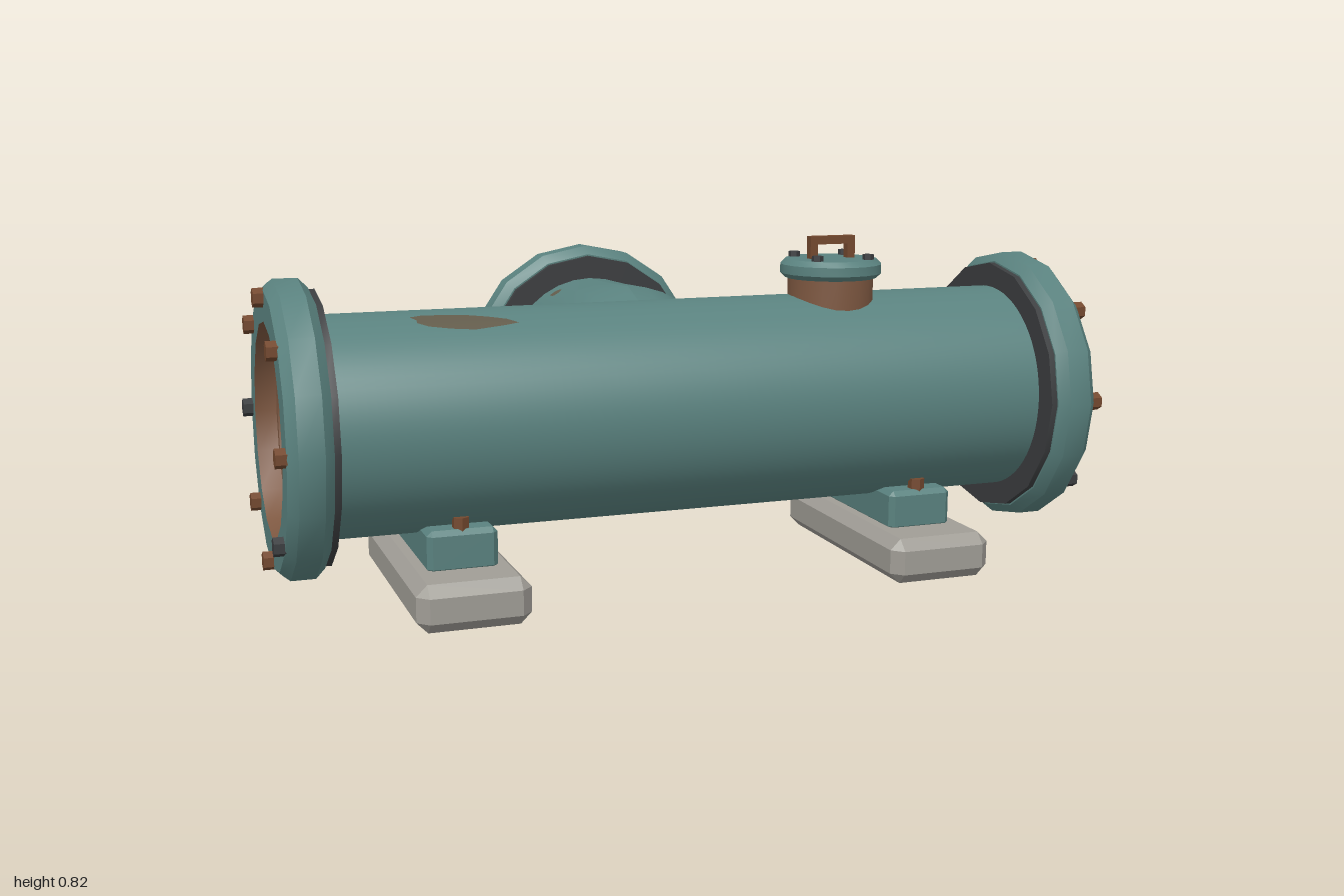
import * as THREE from 'three';
import { toCreasedNormals } from 'three/addons/utils/BufferGeometryUtils.js';
import { ConvexGeometry } from 'three/addons/geometries/ConvexGeometry.js';

const CY = 0.417, CZ = 0.243; // axis of the main pipe

function material(name, color, side = THREE.FrontSide) {
  const m = new THREE.MeshStandardMaterial({ color, side });
  m.name = name;
  return m;
}

export function createModel() {
  const model = new THREE.Group();
  model.name = 'pipeTee';
  const teal = material('tealPaint', 0x5a827f);
  const rust = material('rust', 0x7e5841, THREE.DoubleSide);
  const rustBolt = material('rustyBolt', 0x74492f);
  const dark = material('darkSteel', 0x3c3e40);
  const stone = material('concrete', 0xa09d96);
  const stain = material('rustStain', 0x625b4b, THREE.DoubleSide);

  function add(parent, name, geometry, mat, x = 0, y = 0, z = 0) {
    const mesh = new THREE.Mesh(geometry, mat);
    mesh.name = name;
    mesh.position.set(x, y, z);
    parent.add(mesh);
    return mesh;
  }

  const lathe = (points, sides) => toCreasedNormals(
    new THREE.LatheGeometry(points.map(p => new THREE.Vector2(...p)), sides), 0.5);
  const prism = (r, h, sides) => toCreasedNormals(new THREE.CylinderGeometry(r, r, h, sides), 0.5);

  // Box with every edge chamfered
  function chamferBox(w, h, d, c) {
    const points = [], s = [w / 2, h / 2, d / 2];
    for (const sx of [-1, 1]) for (const sy of [-1, 1]) for (const sz of [-1, 1])
      for (let full = 0; full < 3; full++) {
        const p = s.map((v, i) => (i === full ? v : v - c));
        points.push(new THREE.Vector3(p[0] * sx, p[1] * sy, p[2] * sz));
      }
    return new ConvexGeometry(points);
  }

  // Straight tube along x, with an opening where the branch joins
  function cutTube(radius, length, opening) {
    const g = new THREE.CylinderGeometry(radius, radius, length, 64, 80, true);
    g.rotateZ(Math.PI / 2).translate(0, CY, CZ);
    const p = g.attributes.position, old = g.index.array, keep = [];
    for (let i = 0; i < old.length; i += 3) {
      const t = [old[i], old[i + 1], old[i + 2]];
      const mean = get => t.reduce((sum, v) => sum + get(v), 0) / 3;
      const x = mean(v => p.getX(v)), y = mean(v => p.getY(v)), z = mean(v => p.getZ(v));
      if (z > CZ || Math.hypot(x, y - CY) > opening) keep.push(...t);
    }
    g.setIndex(keep);
    return g;
  }

  // Tube along z through elliptical rings of [z, half width, half height]
  function loft(rings, fitRadius = 0) {
    const rows = rings.length - 1;
    const g = new THREE.CylinderGeometry(1, 1, 1, 32, rows, true).rotateX(-Math.PI / 2);
    const p = g.attributes.position;
    for (let i = 0; i < p.count; i++) {
      const row = Math.round((p.getZ(i) + 0.5) * rows);
      const [z, rx, ry] = rings[row];
      const y = p.getY(i) * ry;
      const end = fitRadius && row === rows ? CZ - Math.sqrt(fitRadius ** 2 - y * y) : z;
      p.setXYZ(i, p.getX(i) * rx, CY + y, end);
    }
    g.computeVertexNormals();
    return g;
  }

  // Pipes and their bores
  add(model, 'mainPipe', cutTube(0.257, 1.76, 0.19), teal);
  add(model, 'mainBore', cutTube(0.225, 1.8, 0.17), rust);
  add(model, 'branchPipe', loft([
    [-0.47, 0.235, 0.235], [-0.28, 0.241, 0.241], [-0.11, 0.25, 0.25],
    [-0.02, 0.268, 0.219], [0.1, 0.292, 0.19],
  ]), teal);
  add(model, 'branchBore', loft([
    [-0.5, 0.21, 0.21], [-0.1, 0.205, 0.205], [0.05, 0.187, 0.187],
  ], 0.225), rust);

  // Bolted flange, built upward with its outer face at y = 0
  function flange(name, R, hole, bore, boltRadius, darkBolts) {
    const group = new THREE.Group();
    group.name = name;
    const t = 0.1, c = 0.022;
    add(group, 'flangeRing', lathe([
      [hole, -t], [R - c, -t], [R, -t + c], [R, -c], [R - c, 0], [hole, 0],
    ], 16), teal);
    add(group, 'flangeLiner', lathe([
      [hole, 0], [hole, -0.05], [bore, -0.05], [bore, -0.09],
    ], 16), rust);
    add(group, 'gasket', lathe([
      [bore + 0.01, -t - 0.015], [R - 0.026, -t - 0.015], [R - 0.026, -t + 0.01],
    ], 16), dark);
    for (let i = 0; i < 8; i++) {
      const a = i * Math.PI / 4, mat = darkBolts.includes(i) ? dark : rustBolt;
      const x = boltRadius * Math.cos(a), z = boltRadius * Math.sin(a);
      add(group, 'flangeBolt', prism(0.022, 0.03, 6), mat, x, 0.008, z);
    }
    model.add(group);
    return group;
  }
  for (const s of [-1, 1]) {
    const end = flange(s > 0 ? 'leftFlange' : 'rightFlange',
      0.343, 0.248, 0.226, 0.302, s > 0 ? [4, 7] : [0, 5]);
    end.rotation.set(-Math.PI / 2, -s * Math.PI / 2, 0, 'YXZ');
    end.position.set(s * 0.977, CY, CZ);
  }
  const back = flange('branchFlange', 0.323, 0.232, 0.21, 0.283, [0, 5]);
  back.rotation.x = -Math.PI / 2;
  back.position.set(0, CY, -0.563);

  // Inspection hatch on top
  const hatch = new THREE.Group();
  hatch.name = 'inspectionHatch';
  hatch.position.set(0.405, 0, 0.258);
  model.add(hatch);
  add(hatch, 'hatchNeck', prism(0.106, 0.1, 20), rust, 0, 0.676, 0);
  add(hatch, 'hatchLid', lathe([
    [0, 0.716], [0.112, 0.716], [0.125, 0.728], [0.125, 0.75], [0.112, 0.763], [0, 0.763],
  ], 20), teal);
  for (const sx of [-1, 1]) {
    for (const sz of [-1, 1])
      add(hatch, 'hatchBolt', prism(0.014, 0.024, 6), dark, sx * 0.068, 0.764, sz * 0.068);
    add(hatch, 'handlePost', new THREE.BoxGeometry(0.02, 0.055, 0.022), rustBolt, sx * 0.05, 0.785, 0);
  }
  add(hatch, 'handleBar', new THREE.BoxGeometry(0.12, 0.02, 0.022), rustBolt, 0, 0.808, 0);

  // Saddles on concrete footings
  for (const s of [-1, 1]) {
    const x = s * 0.577;
    add(model, 'footing', chamferBox(0.262, 0.11, 0.636, 0.026), stone, x, 0.055, CZ);
    add(model, 'saddle', chamferBox(0.164, 0.1, 0.39, 0.012), teal, x, 0.15, CZ);
    for (const sz of [-1, 1])
      add(model, 'saddleBolt', prism(0.02, 0.03, 6), rustBolt, x, 0.21, CZ + sz * 0.168);
  }

  // Rust stains: thin wobbly patches, mapped by a rule onto a pipe wall
  function patch(name, place) {
    const g = new THREE.RingGeometry(0.01, 1, 14, 3);
    const p = g.attributes.position;
    for (let i = 0; i < p.count; i++) {
      const u = p.getX(i), v = p.getY(i), a = Math.atan2(v, u);
      const k = 1 + 0.1 * Math.sin(3 * a + 1) + 0.06 * Math.cos(5 * a);
      p.setXYZ(i, ...place(u * k, v * k));
    }
    g.computeVertexNormals();
    add(model, name, g, stain);
  }
  patch('mainStain', (u, v) => {
    const a = 0.365 - 0.13 * v + 0.06 * u;
    return [-0.55 + 0.115 * u, CY + 0.259 * Math.cos(a), CZ + 0.259 * Math.sin(a)];
  });
  patch('branchStain', (u, v) => {
    const a = -0.53 + 0.07 * u;
    return [0.242 * Math.sin(a), CY + 0.242 * Math.cos(a), -0.365 - 0.016 * v];
  });

  return model;
}
